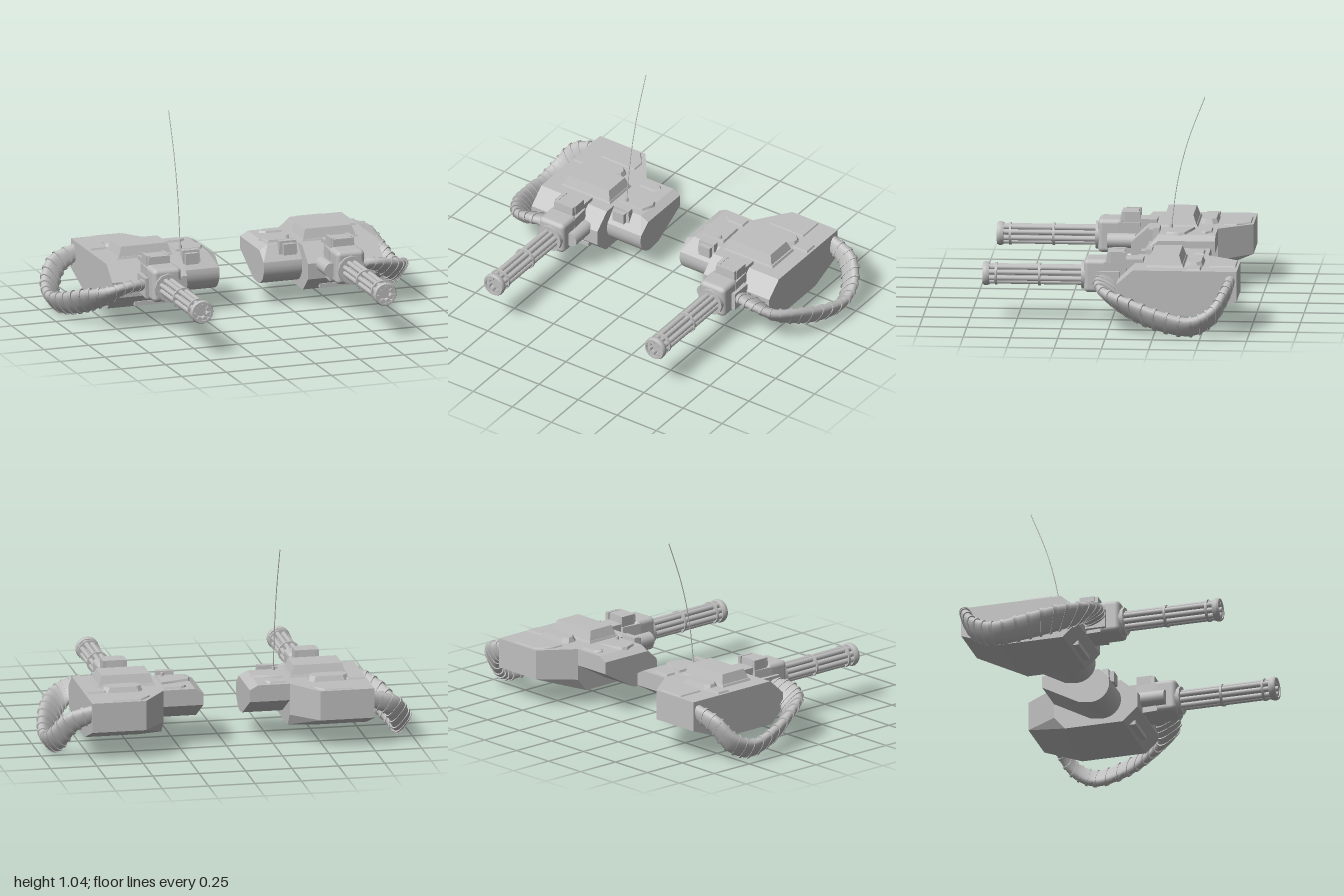
import * as THREE from 'three';
import { toCreasedNormals } from 'three/addons/utils/BufferGeometryUtils.js';
import { RoundedBoxGeometry } from 'three/addons/geometries/RoundedBoxGeometry.js';
import { ConvexGeometry } from 'three/addons/geometries/ConvexGeometry.js';

const metal = new THREE.MeshStandardMaterial({ color: 0xbfbfbf });
metal.name = 'grey metal';
const V = (x, y, z) => new THREE.Vector3(x, y, z);
const hull = (pts) => new ConvexGeometry(pts.map((p) => V(...p)));

// Hull between [z, y] profiles standing at given x positions
const crossHull = (sections) =>
  hull(sections.flatMap(([x, prof]) => prof.map(([z, y]) => [x, y, z])));

// Raised plate with bevelled sides, from an [x, z] outline
function plate(outline, y0, y1, inset) {
  const cx = outline.reduce((s, p) => s + p[0], 0) / outline.length;
  const cz = outline.reduce((s, p) => s + p[1], 0) / outline.length;
  const pull = (v, c) => v - Math.sign(v - c) * Math.min(inset, Math.abs(v - c));
  return hull([
    ...outline.map(([x, z]) => [x, y0, z]),
    ...outline.map(([x, z]) => [pull(x, cx), y1, pull(z, cz)]),
  ]);
}
const rect = (x0, x1, z0, z1) => [[x0, z0], [x1, z0], [x1, z1], [x0, z1]];
const octagon = (x0, x1, z0, z1, c) => [
  [x0 + c, z0], [x1 - c, z0], [x1, z0 + c], [x1, z1 - c],
  [x1 - c, z1], [x0 + c, z1], [x0, z1 - c], [x0, z0 + c]];
const box = (x0, x1, y0, y1, z0, z1) =>
  new THREE.BoxGeometry(x1 - x0, y1 - y0, z1 - z0)
    .translate((x0 + x1) / 2, (y0 + y1) / 2, (z0 + z1) / 2);
const rod = (r, x, y, z0, z1, sides = 16) =>
  new THREE.CylinderGeometry(r, r, z1 - z0, sides).rotateX(Math.PI / 2)
    .translate(x, y, (z0 + z1) / 2);

// Feed belt: the two edges of a flattened, twisting hose
const outerEdge = new THREE.CatmullRomCurve3([
  V(.57, .27, .05), V(.70, .275, .08), V(.82, .25, .04), V(.91, .215, -.1), V(.965, .16, -.28),
  V(.985, .13, -.45), V(.965, .18, -.56), V(.90, .27, -.625), V(.75, .32, -.65)]);
const innerEdge = new THREE.CatmullRomCurve3([
  V(.57, .23, -.03), V(.70, .21, -.05), V(.78, .15, -.06), V(.84, .095, -.15), V(.89, .05, -.28),
  V(.91, .03, -.45), V(.885, .08, -.55), V(.83, .18, -.61), V(.75, .23, -.63)]);

// Loft along the belt; each section is [t, width scale, thickness scale]
function beltLoft(sections, power) {
  const n = 20, pos = [], index = [];
  sections.forEach(([t, ws, ts]) => {
    const a = outerEdge.getPoint(t), b = innerEdge.getPoint(t);
    const mid = a.clone().add(b).multiplyScalar(.5);
    const w = a.clone().sub(b).multiplyScalar(.5 * ws);
    const along = outerEdge.getTangent(t).add(innerEdge.getTangent(t));
    const thick = along.cross(w).normalize().multiplyScalar(.028 * ts);
    for (let i = 0; i < n; i++) {
      const c = Math.cos(i / n * Math.PI * 2), s = Math.sin(i / n * Math.PI * 2);
      const p = mid.clone()
        .addScaledVector(w, Math.sign(c) * Math.abs(c) ** power)
        .addScaledVector(thick, Math.sign(s) * Math.abs(s) ** power);
      pos.push(p.x, p.y, p.z);
    }
  });
  for (let j = 0; j < sections.length - 1; j++) {
    for (let i = 0; i < n; i++) {
      const a = j * n + i, b = j * n + (i + 1) % n;
      index.push(a, b, a + n, b, b + n, a + n);
    }
  }
  const g = new THREE.BufferGeometry();
  g.setAttribute('position', new THREE.Float32BufferAttribute(pos, 3));
  g.setIndex(index);
  return toCreasedNormals(g, .8);
}

// Mirror a geometry across x = 0 and restore its winding
function mirrorX(geo) {
  const g = geo.index ? geo.toNonIndexed() : geo.clone();
  g.scale(-1, 1, 1);
  for (const name of ['position', 'normal']) {
    const a = g.attributes[name];
    for (let i = 0; i < a.count; i += 3) {
      const p = V(0, 0, 0).fromBufferAttribute(a, i + 1);
      const q = V(0, 0, 0).fromBufferAttribute(a, i + 2);
      a.setXYZ(i + 1, q.x, q.y, q.z);
      a.setXYZ(i + 2, p.x, p.y, p.z);
    }
  }
  return g;
}

function makePod(side) {
  const pod = new THREE.Group();
  const add = (name, geo) => {
    const mesh = new THREE.Mesh(side < 0 ? mirrorX(geo) : geo, metal);
    mesh.name = name;
    pod.add(mesh);
  };

  // Armoured hull with the rear inner corner cut off
  const body = [[-.13, .34], [-.68, .34], [-.68, .18], [-.47, .1], [-.12, .1], [-.04, .175], [-.04, .26]];
  const cutBody = [[-.13, .34], [-.5, .34], [-.5, .17], [-.44, .1], [-.12, .1], [-.04, .175], [-.04, .26]];
  add('mainHull', crossHull([[.76, body], [.47, body], [.34, cutBody]]));

  // Inner shoulder with a rounded front underside
  const shoulder = [[-.2, .34], [-.5, .34], [-.5, .25], [-.3, .14]];
  for (let i = 0; i <= 8; i++) {
    const a = -Math.PI / 2 + i / 8 * 1.9;
    shoulder.push([-.23 + .1 * Math.cos(a), .23 + .1 * Math.sin(a)]);
  }
  const lowShoulder = shoulder.map(([z, y]) => [z, Math.min(y, .315)]);
  add('innerShoulder', toCreasedNormals(crossHull([[.36, shoulder], [.17, shoulder], [.125, lowShoulder]]), .4));

  // Raised panels on the deck
  add('deckHatchBase', plate(rect(.36, .68, -.395, -.19), .335, .352, .008));
  add('deckHatch', plate(rect(.37, .665, -.385, -.2), .35, .402, .018));
  add('rearPanel', plate([[.49, -.67], [.65, -.67], [.65, -.52], [.43, -.52], [.43, -.59]], .335, .347, .006));
  add('ventBlock', plate(octagon(.445, .665, -.495, -.395, .025), .335, .367, .012));
  add('outerBadgePlate', plate([[.65, -.49], [.75, -.49], [.75, -.41], [.65, -.41], [.62, -.45]], .335, .35, .007));
  add('innerBadgePlate', plate([[.235, -.48], [.335, -.48], [.335, -.415], [.235, -.415], [.205, -.44]], .335, .35, .007));
  add('shoulderPlate', plate([[.33, -.385], [.17, -.34], [.16, -.31], [.185, -.235], [.335, -.235]], .335, .352, .006));
  add('shoulderBlock', plate(rect(.22, .325, -.205, -.16), .29, .362, .006));
  add('sensorBox', box(.24, .31, .29, .35, -.17, -.14));
  add('lowerSlot', box(.42, .62, .112, .135, -.13, -.075));

  // Gun mount and housing
  const gx = .515, gy = .262;
  const neck = [[-.17, .36], [-.17, .3], [0, .2], [0, .36]];
  add('gunNeck', crossHull([[.46, neck], [.57, neck]]));
  add('gunMount', plate([[.44, -.085], [.59, -.085], [.6, .04], [.43, .04]], .18, .345, .004));
  add('gunHousing', new RoundedBoxGeometry(.16, .18, .135, 3, .025).translate(gx, .27, .075));
  add('gunCollar', rod(.075, gx, gy, .13, .157, 12));
  add('topBox', plate(rect(.455, .58, -.075, .022), .33, .398, .004));
  for (const x of [.463, .572]) add('topBoxRib', box(x - .01, x + .01, .34, .4, -.08, .0));
  add('sideMotor', rod(.04, .425, .25, -.06, .09));
  add('beltPort', box(.58, .615, .2, .3, -.05, .07));

  // Rotary barrels and their clamps
  add('barrelCore', rod(.026, gx, gy, .12, .655));
  for (let i = 0; i < 8; i++) {
    const a = (i + .5) / 8 * Math.PI * 2;
    add('barrel', rod(.014, gx + .041 * Math.cos(a), gy + .041 * Math.sin(a), .12, .675, 10));
  }
  for (const z of [.38, .61]) add('barrelClamp', rod(.06, gx, gy, z - .006, z + .006, 24));
  const muzzle = [[.047, 0], [.058, 0], [.063, .012], [.063, .025], [.058, .035], [.047, .035], [.047, 0]];
  add('muzzleRing', toCreasedNormals(
    new THREE.LatheGeometry(muzzle.map((p) => new THREE.Vector2(...p)), 24), .5)
    .rotateX(Math.PI / 2).translate(gx, gy, .645));

  // Feed belt and its clips, which stand proud at the belt edges
  add('feedBelt', beltLoft(Array.from({ length: 61 }, (_, i) => [i / 60, 1, 1]), .8));
  for (let i = 0; i < 20; i++) {
    const t = .06 + i * .047, d = .006;
    add('beltClip', beltLoft([[t - d, .9, .9], [t - d, 1.09, 1.08], [t + d, 1.09, 1.08], [t + d, .9, .9]], .65));
  }
  return pod;
}

export function createModel() {
  const model = new THREE.Group();
  const left = makePod(1), right = makePod(-1);
  left.name = 'leftGunPod';
  right.name = 'rightGunPod';

  // Whip antenna on the right pod only
  const whip = new THREE.CatmullRomCurve3([
    V(-.3, .34, -.255), V(-.3, .6, -.29), V(-.3, .82, -.345), V(-.3, 1.06, -.435)]);
  const antenna = new THREE.Mesh(new THREE.TubeGeometry(whip, 24, .0025, 6), metal);
  antenna.name = 'antenna';
  model.add(left, right, antenna);

  // Antenna socket on each pod
  for (const x of [-.3, .3]) {
    const socket = new THREE.Mesh(new THREE.CylinderGeometry(.008, .011, .03, 12), metal);
    socket.position.set(x, .355, -.256);
    socket.name = 'antennaSocket';
    model.add(socket);
  }
  return model;
}
